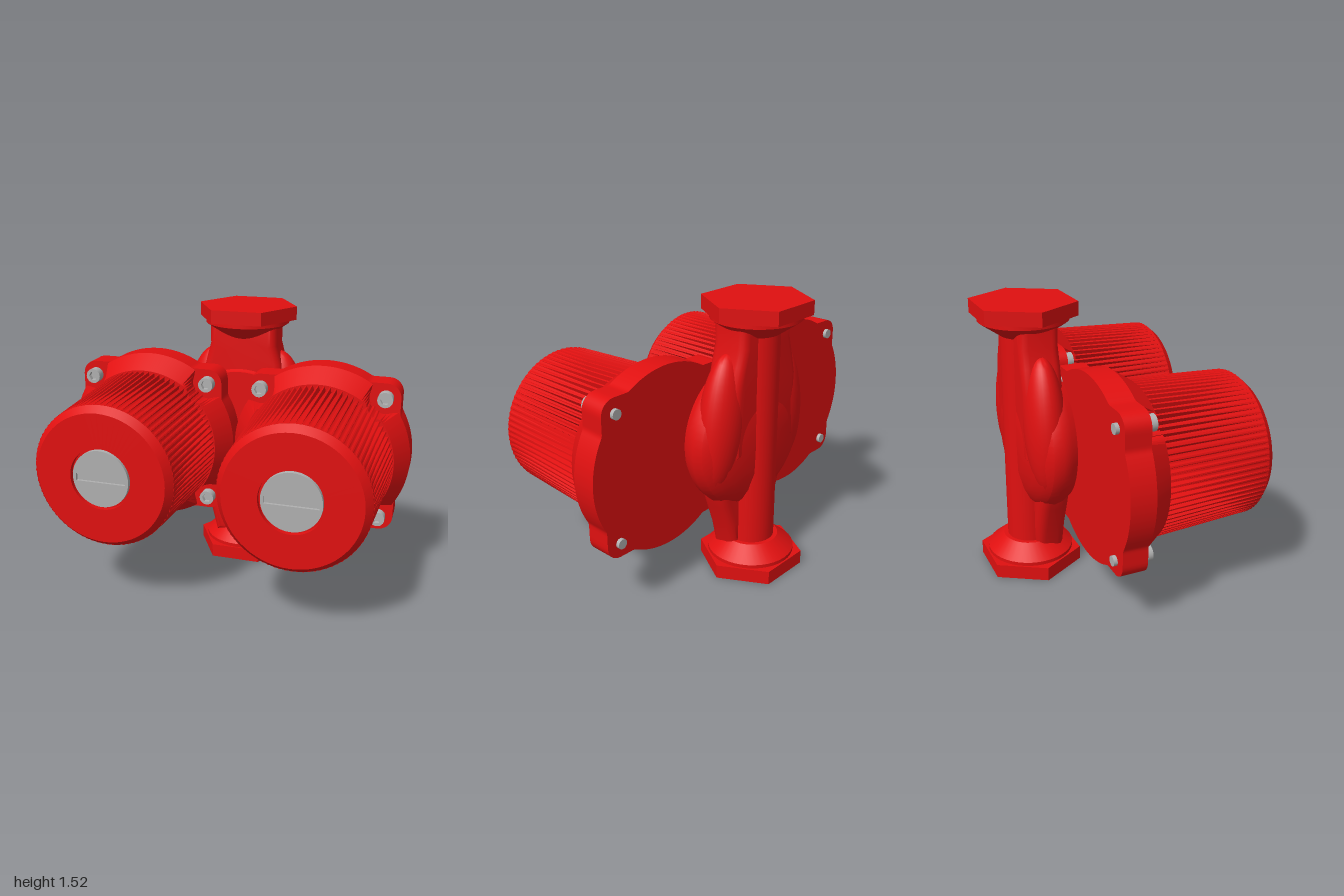
import * as THREE from 'three';
import { toCreasedNormals } from 'three/addons/utils/BufferGeometryUtils.js';

const red = new THREE.MeshStandardMaterial({ color: 0xe01010 });
const grey = new THREE.MeshStandardMaterial({ color: 0xb0b0b0 });
const CY = 0.765;      // height of the motor axes
const PIPE_Z = -0.377; // depth of the pipe axis
const BOLT = 0.345;    // bolt offset from the motor axis

function part(parent, name, geometry, material = red, x = 0, y = 0, z = 0) {
  const mesh = new THREE.Mesh(toCreasedNormals(geometry, 0.5), material);
  mesh.name = name;
  mesh.position.set(x, y, z);
  parent.add(mesh);
  return mesh;
}

// Capped solid through polar rings [z, radius(angle, index)] along z
function loft(rings, n) {
  const pos = [], idx = [];
  rings.forEach(([z, radius]) => {
    for (let j = 0; j < n; j++) {
      const t = (j / n) * Math.PI * 2, r = radius(t, j);
      pos.push(r * Math.cos(t), r * Math.sin(t), z);
    }
  });
  const last = rings.length - 1, back = pos.length / 3, front = back + 1;
  pos.push(0, 0, rings[0][0], 0, 0, rings[last][0]);
  for (let j = 0; j < n; j++) {
    const k = (j + 1) % n;
    for (let i = 0; i < last; i++) {
      const a = i * n + j, b = i * n + k;
      idx.push(a, b, b + n, a, b + n, a + n);
    }
    idx.push(back, k, j, front, last * n + j, last * n + k);
  }
  const g = new THREE.BufferGeometry();
  g.setAttribute('position', new THREE.Float32BufferAttribute(pos, 3));
  g.setIndex(idx);
  return g;
}

const lathe = (pts, n) => new THREE.LatheGeometry(pts.map(p => new THREE.Vector2(...p)), n);
const latheZ = (pts, n) => lathe(pts, n).rotateX(Math.PI / 2);
const rod = (r, h, n) => new THREE.CylinderGeometry(r, r, h, n).rotateX(Math.PI / 2);

// Angle from the nearest diagonal, where the bolts sit
const fromDiagonal = t => Math.abs((t % (Math.PI / 2)) - Math.PI / 4);
const boltDist = BOLT * Math.SQRT2;

// Round flange joined with a rounded square that carries the bolts
function flangeRadius(t) {
  const phi = fromDiagonal(t), a = Math.PI / 4 - phi, half = 0.425, c = half - BOLT;
  let r = half / Math.cos(a);
  if (half * Math.tan(a) > BOLT) {
    r = boltDist * Math.cos(phi) + Math.sqrt(c * c - (boltDist * Math.sin(phi)) ** 2);
  }
  return Math.max(0.495, r);
}

// Cone with a scooped pocket around each bolt
const pocketRadius = base => t => {
  const phi = fromDiagonal(t), q = 0.09 ** 2 - (boltDist * Math.sin(phi)) ** 2;
  return q < 0 ? base : Math.min(base, Math.max(0.395, boltDist * Math.cos(phi) - Math.sqrt(q)));
};

// Flat disc with a polygonal recess, facing +z
function recessedDisc(radius, hole, depth, segments) {
  const s = new THREE.Shape().absarc(0, 0, radius, 0, Math.PI * 2);
  s.holes.push(new THREE.Path(hole.map(p => new THREE.Vector2(...p))));
  return new THREE.ExtrudeGeometry(s, { depth, bevelEnabled: false, curveSegments: segments });
}

function makeMotor(x, side) {
  const m = new THREE.Group();
  m.name = side + 'Motor';
  m.position.set(x, CY, 0);
  part(m, 'flange', loft([[-0.235, flangeRadius], [-0.1, flangeRadius]], 240));
  part(m, 'flangeCone', loft([[-0.11, pocketRadius(0.495)], [-0.1, pocketRadius(0.495)],
    [0.012, pocketRadius(0.42)]], 240));
  // Grooves fade out toward the front as the housing tapers
  const ribs = (outer, inner) => (t, j) => (j % 4 < 2 ? outer : inner);
  part(m, 'ribbedHousing', loft([[-0.1, ribs(0.415, 0.388)], [0.01, ribs(0.415, 0.388)],
    [0.585, ribs(0.39, 0.386)]], 320));
  part(m, 'frontCover', latheZ([[0.388, 0.57], [0.388, 0.585], [0.355, 0.625],
    [0.168, 0.625], [0.168, 0.598], [0, 0.598]], 64));
  // Slotted vent plug
  part(m, 'plug', recessedDisc(0.155, [[-0.137, -0.02], [-0.137, 0.02], [0.137, 0.02], [0.137, -0.02]], 0.027, 24),
    grey, 0, 0, 0.595);
  part(m, 'plugSlotFloor', rod(0.145, 0.015, 32), grey, 0, 0, 0.6);
  // Socket-head bolts
  const hex = Array.from({ length: 6 }, (_, i) => [0.026 * Math.cos(i * Math.PI / 3), 0.026 * Math.sin(i * Math.PI / 3)]);
  for (const sx of [-1, 1]) for (const sy of [-1, 1]) {
    const bx = sx * BOLT, by = sy * BOLT;
    part(m, 'boltHead', recessedDisc(0.042, hex, 0.055, 12), grey, bx, by, -0.105);
    part(m, 'boltSocketFloor', rod(0.035, 0.03, 16), grey, bx, by, -0.09);
    part(m, 'boltEnd', rod(0.027, 0.05, 16), grey, bx, by, -0.23);
  }
  return m;
}

// Mirrored outline [halfWidth, y] from bottom to top, extruded from back to front
function arm(pts, zBack, zFront, bevel) {
  const right = pts.map(([w, y]) => new THREE.Vector2(w - bevel, y));
  const left = pts.map(([w, y]) => new THREE.Vector2(bevel - w, y)).reverse();
  return new THREE.ExtrudeGeometry(new THREE.Shape([...right, ...left]), {
    depth: zFront - zBack - 2 * bevel, bevelThickness: bevel, bevelSize: bevel, bevelSegments: 5,
  }).translate(0, 0, zBack + bevel);
}

export function createModel() {
  const root = new THREE.Group();
  root.name = 'twinPump';
  root.add(makeMotor(0.5, 'left'), makeMotor(-0.5, 'right'));

  // Vertical pipe with hexagonal unions
  part(root, 'pipe', new THREE.CylinderGeometry(0.127, 0.127, 1.4, 32), red, 0, 0.76, PIPE_Z);
  for (const [name, y, h] of [['bottomUnion', 0.039, 0.078], ['topUnion', 1.4825, 0.075]]) {
    part(root, name, new THREE.CylinderGeometry(0.287, 0.287, h, 6).rotateY(Math.PI / 6), red, 0, y, PIPE_Z);
  }
  part(root, 'bottomCollar', lathe([[0.24, 0.07], [0.24, 0.098], [0.15, 0.172], [0, 0.172]], 40), red, 0, 0, PIPE_Z);
  part(root, 'topCollar', lathe([[0, 1.335], [0.115, 1.335], [0.24, 1.422], [0.24, 1.45]], 40), red, 0, 0, PIPE_Z);

  // Necks that widen into the volute
  part(root, 'upperNeck', arm([[0.25, 0.75], [0.25, 1.08], [0.222, 1.2], [0.195, 1.3], [0.195, 1.4]],
    -0.465, -0.25, 0.045));
  part(root, 'lowerNeck', arm([[0.165, 0.175], [0.19, 0.28], [0.24, 0.42], [0.3, 0.6], [0.3, 0.75]],
    -0.39, -0.225, 0.05));

  // Volute casing with a raised swelling on each side
  const casing = latheZ([[0, 0.47], [0.2, 0.465], [0.3, 0.44], [0.36, 0.41], [0.4, 0.37],
    [0.415, 0.32], [0.405, 0.27], [0.385, 0.24], [0.38, 0.225], [0, 0.225]].map(([r, d]) => [r, -d]), 64);
  part(root, 'volute', casing, red, 0, 0.775, 0);
  for (const s of [-1, 1]) {
    const swelling = new THREE.SphereGeometry(1, 32, 24).scale(0.14, 0.37, 0.11);
    part(root, 'voluteSwelling', swelling, red, s * 0.235, 0.9, -0.358).rotation.z = s * 0.12;
  }
  return root;
}
